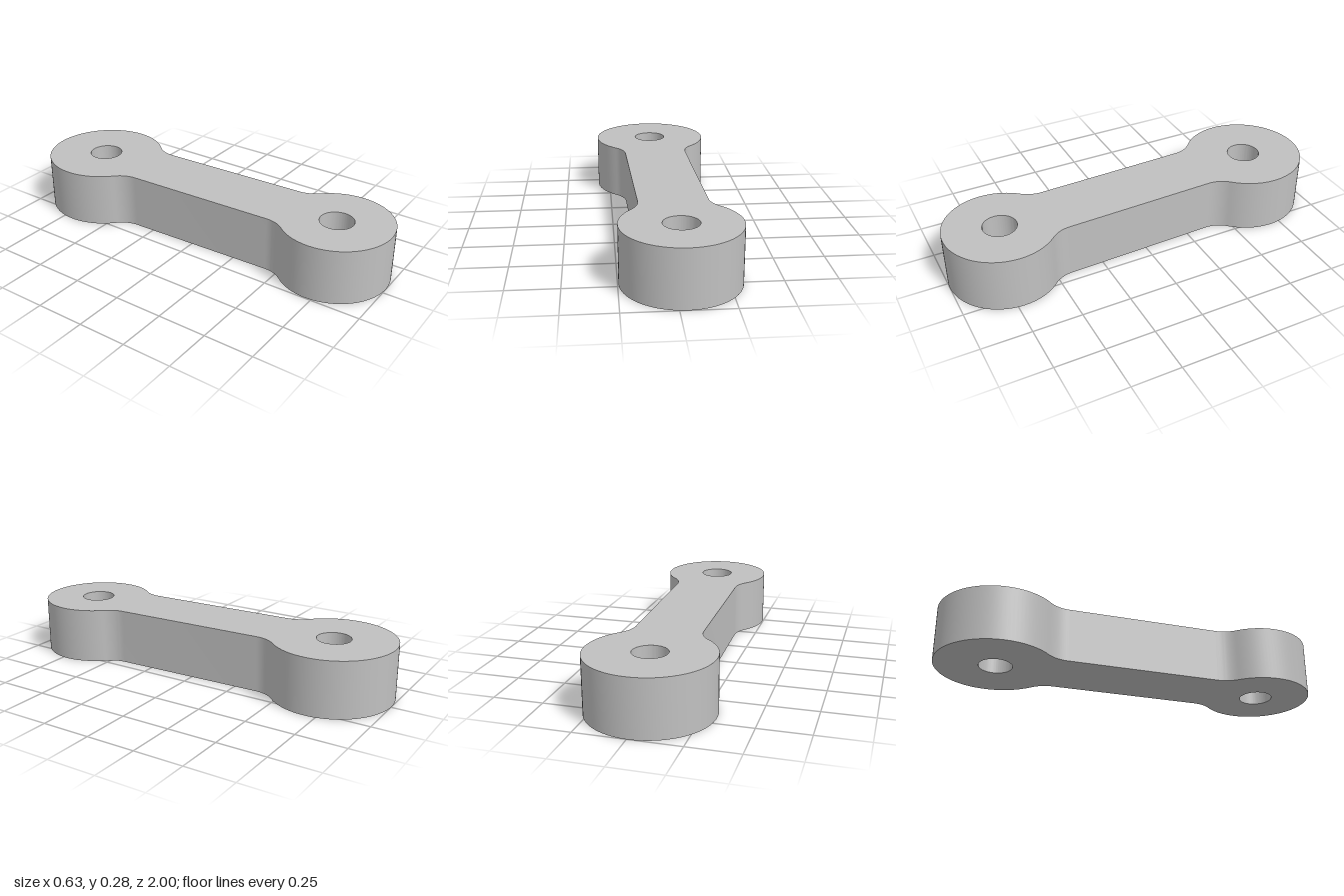
import * as THREE from 'three';
import { toCreasedNormals } from 'three/addons/utils/BufferGeometryUtils.js';

const HEIGHT = 0.283;
const HOLE = 0.085;
const HALF_BAR = 0.168;
const FILLET = 0.15;
const FRONT = { x: 0.035, z: 0.719, r: 0.281 };
const BACK = { x: -0.008, z: -0.692, r: 0.308 };

export function createModel() {
  const steel = new THREE.MeshStandardMaterial({ color: 0xc0c0c0 });
  steel.name = 'grey';

  // Local plan: front boss at the origin, back boss up the y axis
  const dx = BACK.x - FRONT.x, dy = FRONT.z - BACK.z;
  const length = Math.hypot(dx, dy);
  const side = HALF_BAR + FILLET;
  const reach = (r) => Math.sqrt((r + FILLET) ** 2 - side ** 2);
  const dF = reach(FRONT.r), dB = reach(BACK.r);
  const aF = Math.atan2(dF, side), aB = Math.atan2(dB, side);

  // Outline of tangent arcs, counter-clockwise, without repeated joints
  const points = [];
  const arc = (cx, cy, r, from, to, steps) => {
    for (let i = 0; i <= steps; i++) {
      const a = from + ((to - from) * i) / steps;
      const p = new THREE.Vector2(cx + r * Math.cos(a), cy + r * Math.sin(a));
      if (!points.length || p.distanceTo(points[points.length - 1]) > 1e-4) points.push(p);
    }
  };
  const PI = Math.PI;
  arc(0, 0, FRONT.r, PI - aF, 2 * PI + aF, 72);
  arc(side, dF, FILLET, PI + aF, PI, 12);
  arc(side, length - dB, FILLET, PI, PI - aB, 12);
  arc(0, length, BACK.r, -aB, PI + aB, 72);
  arc(-side, length - dB, FILLET, aB, 0, 12);
  arc(-side, dF, FILLET, 0, -aF, 12);
  points.pop(); // last point closes on the first

  const shape = new THREE.Shape(points);
  for (const y of [0, length]) {
    shape.holes.push(new THREE.Path().absarc(0, y, HOLE, 0, 2 * PI, true));
  }

  // Extrude upwards, tilted slightly to join the two boss centres
  let geometry = new THREE.ExtrudeGeometry(shape, { depth: HEIGHT, bevelEnabled: false, curveSegments: 48 });
  geometry.rotateZ(Math.atan2(-dx, dy));
  geometry.translate(FRONT.x, -FRONT.z, 0);
  geometry.rotateX(-PI / 2);
  geometry = toCreasedNormals(geometry, 0.6);

  const link = new THREE.Mesh(geometry, steel);
  link.name = 'linkArm';
  const group = new THREE.Group();
  group.name = 'twoHoleLink';
  group.add(link);
  return group;
}
